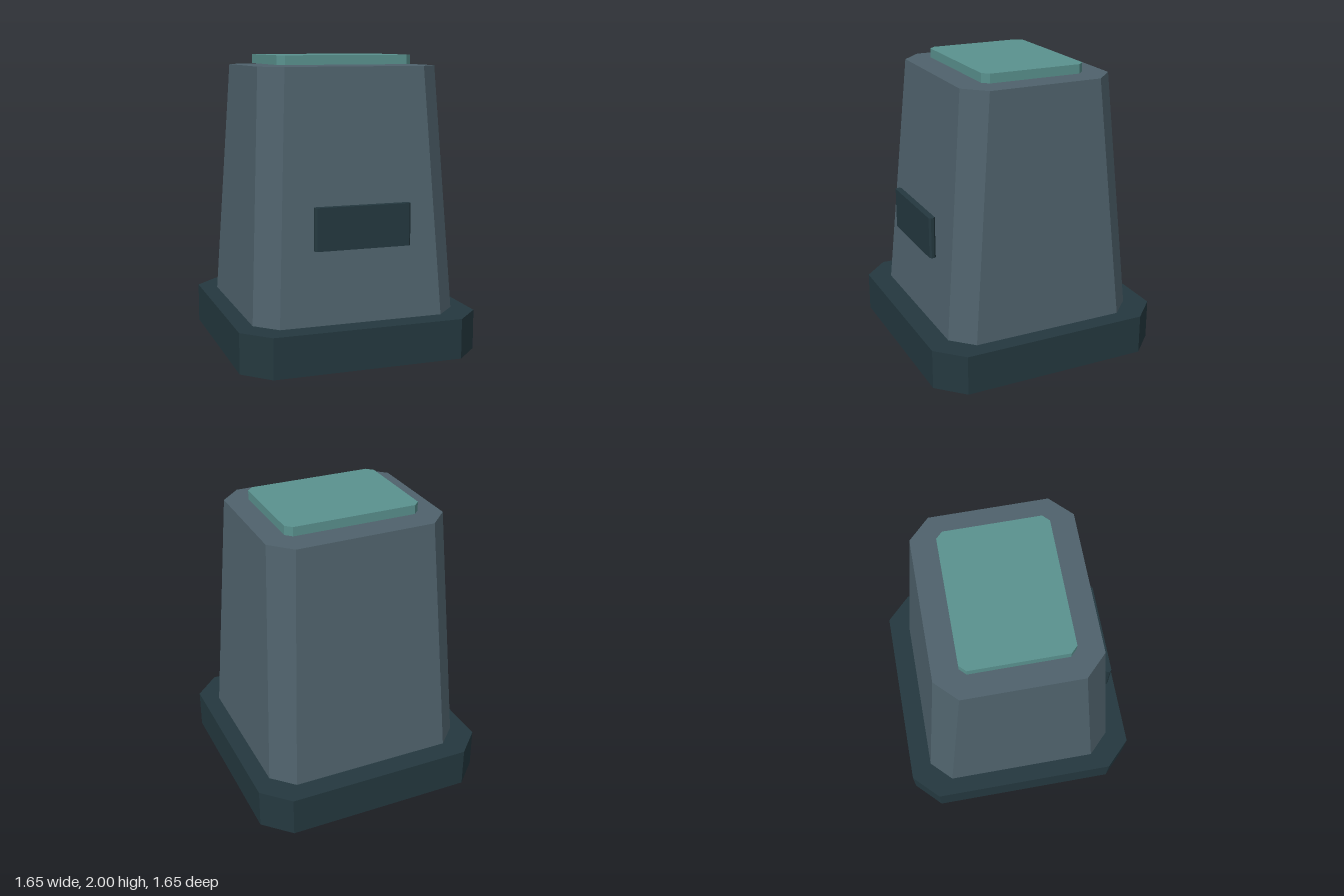
import * as THREE from 'three';

// Corners of a rectangle with cut corners, seen from above
function cutRectangle(halfX, halfZ, cut, y) {
  const a = halfX - cut, b = halfZ - cut;
  return [
    [a, halfZ], [halfX, b], [halfX, -b], [a, -halfZ],
    [-a, -halfZ], [-halfX, -b], [-halfX, b], [-a, halfZ],
  ].map(([x, z]) => [x, y, z]);
}

// Flat-shaded block lofted between a lower and an upper cut rectangle
function loft(lower, upper) {
  const positions = [];
  const tri = (a, b, c) => positions.push(...a, ...b, ...c);
  const n = lower.length;
  for (let i = 0; i < n; i++) {
    const j = (i + 1) % n;
    tri(lower[i], lower[j], upper[j]);
    tri(lower[i], upper[j], upper[i]);
  }
  for (let i = 1; i < n - 1; i++) {
    tri(upper[0], upper[i], upper[i + 1]);
    tri(lower[0], lower[i + 1], lower[i]);
  }
  const geometry = new THREE.BufferGeometry();
  geometry.setAttribute('position', new THREE.Float32BufferAttribute(positions, 3));
  geometry.computeVertexNormals();
  return geometry;
}

function prism(halfX, halfZ, cut, y0, y1) {
  return loft(cutRectangle(halfX, halfZ, cut, y0), cutRectangle(halfX, halfZ, cut, y1));
}

function material(name, color) {
  const m = new THREE.MeshStandardMaterial({ color });
  m.name = name;
  return m;
}

export function createModel() {
  const model = new THREE.Group();
  model.name = 'pedestal';
  const slate = material('slate grey', 0x4f626c);
  const dark = material('dark teal', 0x24383f);
  const teal = material('pale teal', 0x5a928f);

  const add = (name, geometry, mat) => {
    const mesh = new THREE.Mesh(geometry, mat);
    mesh.name = name;
    model.add(mesh);
    return mesh;
  };

  // Wide plinth on the ground
  add('base', prism(0.823, 0.823, 0.175, 0, 0.273), dark);

  // Tapered column, narrowing more from front to back
  add('body', loft(
    cutRectangle(0.705, 0.675, 0.143, 0.273),
    cutRectangle(0.617, 0.53, 0.14, 1.93),
  ), slate);

  // Thin slab hovering just over the column
  add('topPanel', prism(0.468, 0.362, 0.043, 1.938, 2), teal);

  // Plaque standing off the front face
  const plaque = add('frontPlaque', prism(0.328, 0.022, 0.012, 0.768, 1.05), dark);
  plaque.position.z = 0.673;

  return model;
}
